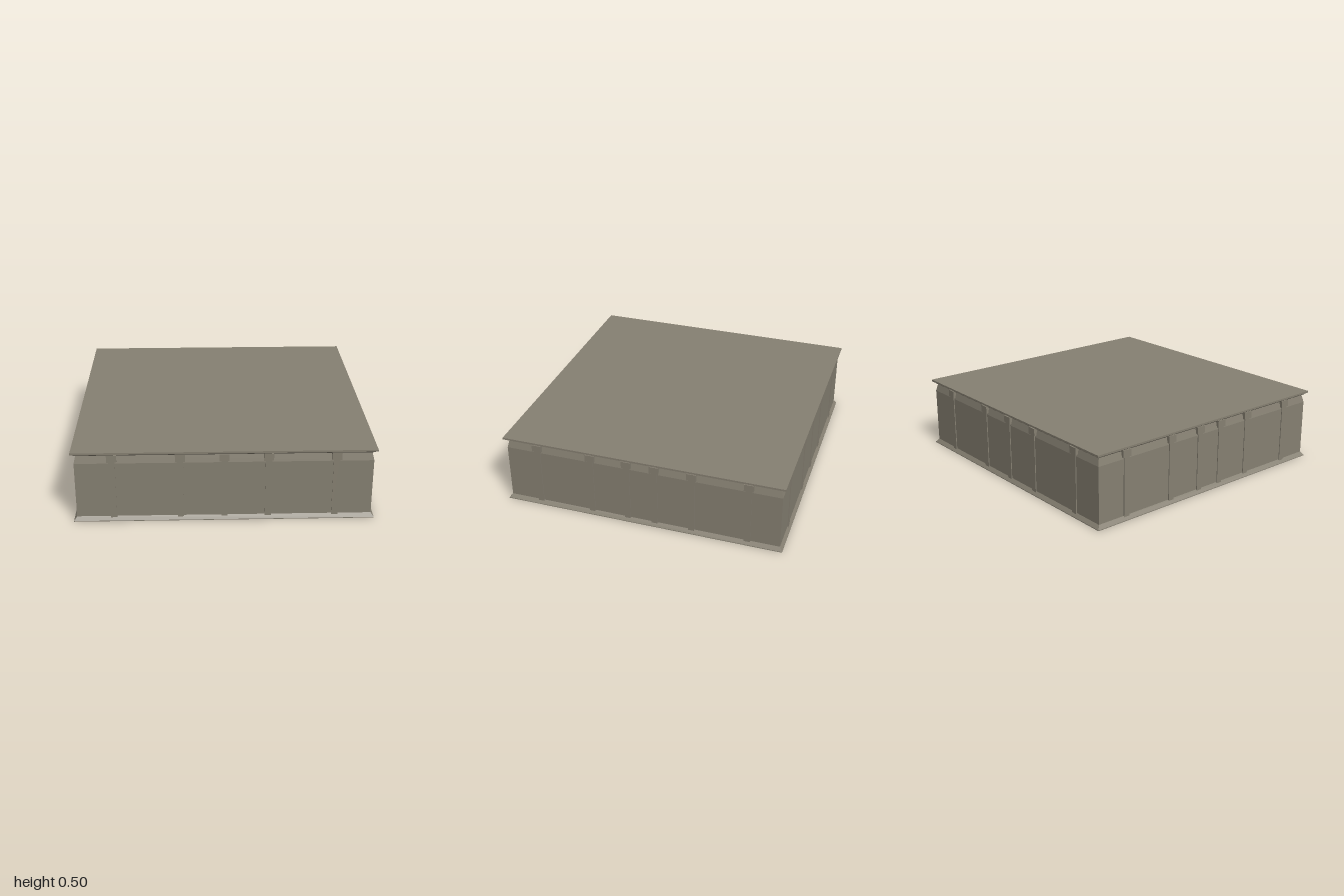
import * as THREE from 'three';

const HALF_Z = 0.982; // depth to width ratio of the footprint

const stone = new THREE.MeshStandardMaterial({ color: 0x868072, side: THREE.DoubleSide });
stone.name = 'warm grey stone';

// Sweep a [half width, height] profile around the rectangular footprint
function rectSweep(name, profile) {
  const points = profile.map(([r, y]) => new THREE.Vector2(r * Math.SQRT2, y));
  const geometry = new THREE.LatheGeometry(points, 4, Math.PI / 4).toNonIndexed();
  geometry.scale(1, 1, HALF_Z);
  geometry.computeVertexNormals();
  const mesh = new THREE.Mesh(geometry, stone);
  mesh.name = name;
  return mesh;
}

function box(name, w, y0, y1, z0, z1) {
  const geometry = new THREE.BoxGeometry(w, y1 - y0, z1 - z0);
  geometry.translate(0, (y0 + y1) / 2, (z0 + z1) / 2);
  const mesh = new THREE.Mesh(geometry, stone);
  mesh.name = name;
  return mesh;
}

// Pilaster whose wall faces +z at distance d from the centre
function pilaster(d) {
  const group = new THREE.Group();
  group.name = 'pilaster';
  group.add(
    box('post', 0.042, 0.004, 0.45, d - 0.004, d + 0.006),
    box('bracket', 0.065, 0.432, 0.481, d - 0.17, d + 0.012)
  );
  return group;
}

export function createModel() {
  const model = new THREE.Group();
  model.name = 'hollowPlatform';

  // Open base frame with a sloped skirting
  model.add(rectSweep('baseFrame', [
    [0.98, 0.02], [0.82, 0.02], [0.82, 0], [1, 0], [1, 0.005], [0.98, 0.03]
  ]));

  // Thin walls, leaning inward at the top
  model.add(rectSweep('walls', [[0.98, 0.015], [0.98, 0.42], [0.966, 0.478]]));

  // Roof slab with a moulded edge
  model.add(rectSweep('roofSlab', [
    [0, 0.477], [0.978, 0.477], [0.985, 0.484], [1, 0.492], [1, 0.505], [0, 0.505]
  ]));

  // Pilasters: five on front and back, six on each side
  const frontX = [-0.735, -0.29, 0, 0.29, 0.735];
  const sideZ = [-0.74, -0.355, -0.097, 0.097, 0.355, 0.74];
  const wallX = 0.98;
  const wallZ = wallX * HALF_Z;
  for (const side of [1, -1]) {
    for (const x of frontX) {
      const p = pilaster(wallZ);
      p.position.x = x;
      p.rotation.y = side > 0 ? 0 : Math.PI;
      model.add(p);
    }
    for (const z of sideZ) {
      const p = pilaster(wallX);
      p.position.z = z;
      p.rotation.y = side * Math.PI / 2;
      model.add(p);
    }
  }
  return model;
}
